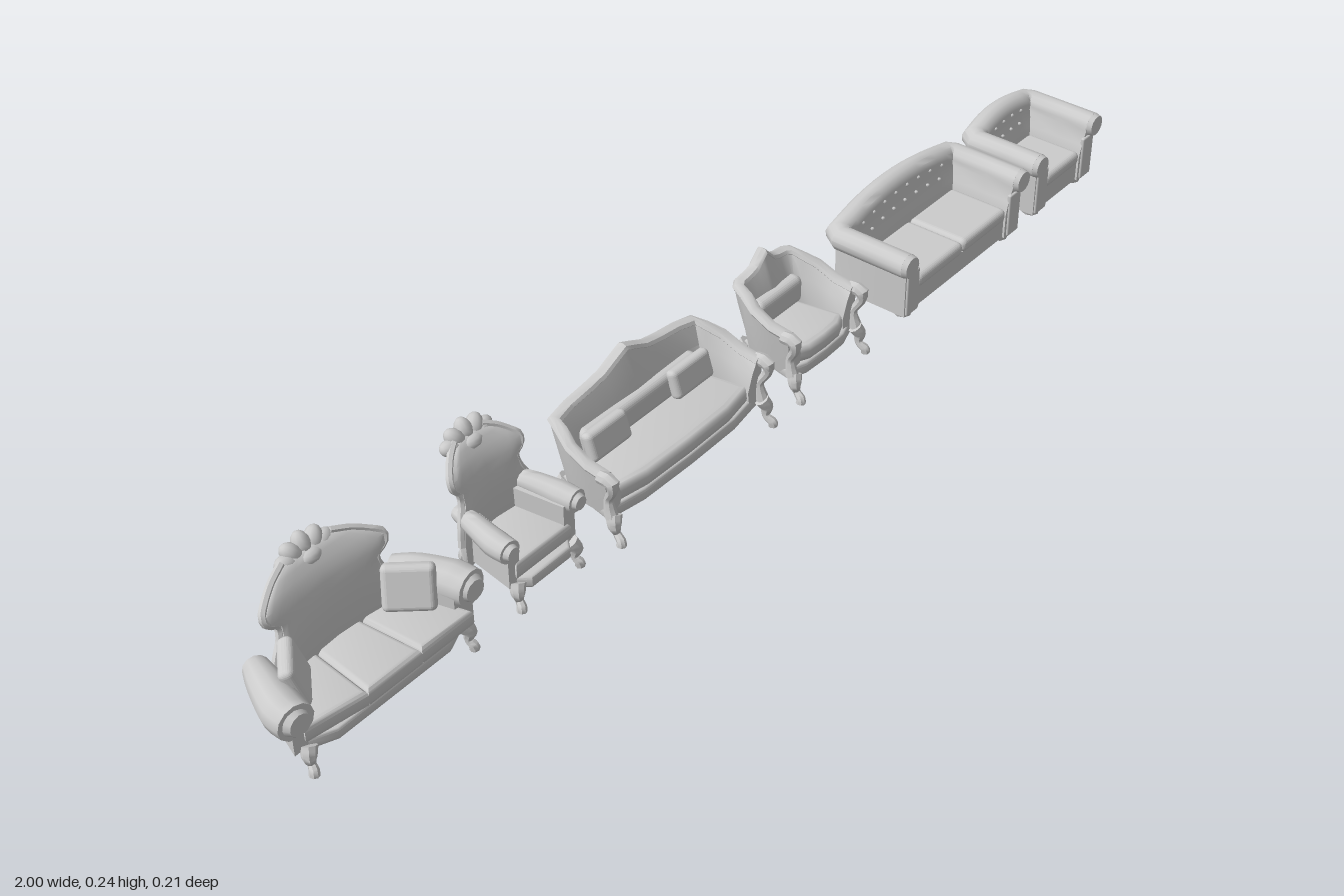
import * as THREE from 'three';
import { toCreasedNormals } from 'three/addons/utils/BufferGeometryUtils.js';
import { RoundedBoxGeometry } from 'three/addons/geometries/RoundedBoxGeometry.js';

const mat = new THREE.MeshStandardMaterial({ color: 0xcccccc });
const V = (x, y, z) => new THREE.Vector3(x, y, z);
const { lerp, clamp } = THREE.MathUtils;

function add(group, name, geo, x = 0, y = 0, z = 0) {
  const m = new THREE.Mesh(geo, mat);
  m.name = name;
  m.position.set(x, y, z);
  group.add(m);
  return m;
}

// Closed skin over a row of rings, wound so that faces point outward
function loft(rings, crease = 0.7) {
  const n = rings[0].length, last = (rings.length - 1) * n;
  const pts = rings.flat(), idx = [];
  for (const ring of [rings[0], rings[rings.length - 1]])
    pts.push(ring.reduce((a, p) => a.add(p), V(0, 0, 0)).divideScalar(n));
  for (let i = 0; i < last; i += n)
    for (let j = 0; j < n; j++) {
      const a = i + j, b = i + (j + 1) % n;
      idx.push(a, b, a + n, b, b + n, a + n);
    }
  for (let j = 0; j < n; j++) {
    const k = (j + 1) % n;
    idx.push(last + n, k, j, last + n + 1, last + j, last + k);
  }
  let volume = 0;
  for (let i = 0; i < idx.length; i += 3)
    volume += pts[idx[i]].dot(V(0, 0, 0).crossVectors(pts[idx[i + 1]], pts[idx[i + 2]]));
  if (volume < 0) idx.reverse();
  const geo = new THREE.BufferGeometry().setFromPoints(pts);
  geo.setIndex(idx);
  return toCreasedNormals(geo, crease);
}

// Round bar through [x, y, z, radius] points
function bar(stops, sides = 8, segs = 12) {
  const curve = new THREE.CatmullRomCurve3(stops.map(p => V(p[0], p[1], p[2])));
  const { normals, binormals } = curve.computeFrenetFrames(segs, false);
  return loft(normals.map((nrm, i) => {
    const t = curve.getUtoTmapping(i / segs) * (stops.length - 1);
    const k = Math.min(Math.floor(t), stops.length - 2);
    const r = lerp(stops[k][3], stops[k + 1][3], t - k), c = curve.getPointAt(i / segs);
    return Array.from({ length: sides }, (_, j) => {
      const a = j / sides * Math.PI * 2;
      return c.clone().addScaledVector(nrm, r * Math.cos(a)).addScaledVector(binormals[i], r * Math.sin(a));
    });
  }));
}

// Upright wall along an [x, z] path; profile(x, z) gives [outward offset, y] points
function wall(path, profile) {
  return loft(path.map(([x, z], i) => {
    const dir = (a, b) => new THREE.Vector2(b[0] - a[0], b[1] - a[1]).normalize();
    const d0 = dir(path[Math.max(i - 1, 0)], path[Math.max(i, 1)]);
    const d1 = i < path.length - 1 ? dir(path[i], path[i + 1]) : d0;
    const t = d0.clone().add(d1).normalize(), mitre = 1 / Math.max(0.6, t.dot(d0));
    return profile(x, z).map(([o, y]) => V(x - t.y * o * mitre, y, z + t.x * o * mitre));
  }));
}

// Flat slab with rounded edges from an [x, z] outline
function slab(outline, y0, y1, bevel) {
  const shape = new THREE.Shape(outline.map(([x, z]) => new THREE.Vector2(x, -z)));
  const geo = new THREE.ExtrudeGeometry(shape, { depth: y1 - y0 - 2 * bevel, bevelSize: bevel,
    bevelThickness: bevel, bevelOffset: -bevel, bevelSegments: 3 });
  return toCreasedNormals(geo.rotateX(-Math.PI / 2).translate(0, y0 + bevel, 0), 0.7);
}

// Cushion whose middle is puffed up
function cushion(w, h, d, puff = 0.3) {
  const geo = new RoundedBoxGeometry(w, h, d, 3, Math.min(w, h, d) * 0.4);
  const p = geo.attributes.position;
  for (let i = 0; i < p.count; i++) {
    const u = 2 * p.getX(i) / w, v = 2 * p.getZ(i) / d;
    p.setY(i, p.getY(i) * (1 + puff * (1 - u * u) * (1 - v * v)));
  }
  geo.computeVertexNormals();
  return geo;
}

// Cabriole leg that swells at the knee and kicks out at the foot
function leg(g, x, z, sx, sz, top, kick) {
  add(g, 'cabrioleLeg', bar([
    [x, top, z, 0.013], [x + sx * 0.006, top * 0.7, z + sz * 0.006, 0.011],
    [x + sx * 0.003, top * 0.35, z + sz * kick * 0.4, 0.006],
    [x + sx * 0.006, 0.007, z + sz * kick, 0.008], [x + sx * 0.007, 0, z + sz * kick, 0.008]]));
}

// Seat with a balloon back, shell crest and rolled arms
function shellSeat(name, hw, roll, ear, parts, pillows) {
  const g = new THREE.Group();
  g.name = name;
  const hb = hw * 0.8;
  add(g, 'seatRail', slab([[-hw, 0.055], [-hw * 0.7, 0.075], [hw * 0.7, 0.075], [hw, 0.055],
    [hb, -0.055], [-hb, -0.055]], 0.03, 0.052, 0.005));
  for (let i = 0; i < parts; i++) {
    const a = -1 + 2 * i / parts, b = a + 2 / parts;
    const f = u => Math.abs(u) === 1 ? 0.062 : 0.078;
    add(g, 'seatCushion', slab([[a * hw, f(a)], [b * hw, f(b)], [b * hb, -0.045], [a * hb, -0.045]],
      0.048, 0.08, 0.009));
  }
  // balloon back as stacked sections: [y, half width / ear width, z, half thickness]
  const rows = [[0.035, 1.05, -0.043, 0.01], [0.08, 1.1, -0.045, 0.013], [0.115, 1, -0.047, 0.014],
    [0.14, 0.84, -0.05, 0.014], [0.158, 0.82, -0.054, 0.014], [0.172, 0.98, -0.058, 0.013],
    [0.186, 1, -0.062, 0.012], [0.196, 0.86, -0.068, 0.011], [0.207, 0.66, -0.074, 0.01],
    [0.216, 0.4, -0.08, 0.007]];
  const bend = u => 0.016 * u * u;
  add(g, 'balloonBack', loft(rows.map(([y, w, z, t]) => Array.from({ length: 20 }, (_, j) => {
    const a = j / 20 * Math.PI * 2, c = Math.cos(a), s = Math.sin(a);
    const u = w * Math.sign(c) * Math.abs(c) ** 0.7;
    return V(u * ear, y, z + t * Math.sign(s) * Math.abs(s) ** 0.6 + bend(u));
  })), 0.9));
  // shell crest
  for (let i = -2; i <= 2; i++) {
    const a = i * 0.62, lobe = new THREE.SphereGeometry(1, 10, 8).scale(0.014, 0.02, 0.014);
    const m = add(g, 'crestLobe', lobe, Math.sin(a) * 0.034, 0.201 + Math.cos(a) * 0.017, -0.078 - Math.cos(a) * 0.008);
    m.rotation.set(-0.4, 0, -a);
  }
  add(g, 'crestBase', new THREE.SphereGeometry(1, 10, 8).scale(0.022, 0.012, 0.014), 0, 0.203, -0.072);
  for (const s of [-1, 1]) {
    const ax = s * (hw + 0.013), bx = s * (hb + 0.006), ay = 0.135 - roll;
    add(g, 'backTrim', bar(rows.slice(1).map(([y, w, z]) => [s * w * ear, y, z + bend(w), 0.006]), 6, 24));
    add(g, 'rolledArm', bar([[bx, ay, -0.055, roll * 0.6], [lerp(bx, ax, 0.4), ay + 0.003, -0.02, roll * 0.8],
      [lerp(bx, ax, 0.9), ay, 0.035, roll], [ax, ay, 0.064, roll * 0.92]], 12));
    const scroll = add(g, 'armScroll', new THREE.CylinderGeometry(roll * 0.55, roll * 0.7, 0.01, 12), ax, ay, 0.067);
    scroll.rotation.x = Math.PI / 2;
    const quad = (x, z, t) => [V(x - t, 0.04, z), V(x + t, 0.04, z), V(x + t, ay, z), V(x - t, ay, z)];
    add(g, 'armPanel', loft([quad(bx - s * 0.008, -0.05, 0.012), quad(ax - s * 0.012, 0.058, roll * 0.55)]));
    leg(g, s * hw * 0.97, 0.06, s, 1, 0.044, 0.012);
    leg(g, s * hb * 0.95, -0.045, s, -1, 0.044, 0.006);
    if (pillows) {
      const p = add(g, 'pillow', cushion(0.078, 0.022, 0.072, 0.5), s * 0.108, 0.111, 0);
      p.rotation.set(Math.PI / 2 - 0.25, 0, s * 0.85, 'ZXY');
      p.rotation.set(1.25, -s * 0.85, 0, 'YXZ');
    }
  }
  return g;
}

// Seat with a pointed back wrapping forward into low arms
function wingSeat(name, hw, peak, pillows) {
  const g = new THREE.Group();
  g.name = name;
  const hb = hw - 0.012, right = [[hw, 0.066], [hw, 0.03], [hw - 0.002, -0.005], [hb, -0.03], [hb - 0.012, -0.043]];
  const back = [0.75, 0.5, 0.3, 0.15, 0.06, 0].map(u => [u * hb, -0.047]);
  const half = [...right, ...back];
  const path = [...half, ...half.slice(0, -1).reverse().map(([x, z]) => [-x, z])];
  const top = (x, z) => {
    if (z > -0.035) return lerp(0.152, 0.122, clamp((z + 0.03) / 0.07, 0, 1));
    const u = Math.abs(x) / hb;
    return 0.155 + (peak - 0.18) * (1 - u * u) + 0.025 * Math.max(0, 1 - u / 0.35);
  };
  add(g, 'wrapBack', wall(path, (x, z) => {
    const t = top(x, z), lean = z > -0.035 ? 0.01 : 0.02;
    return [[-0.004, 0.035], [0.002, 0.07], [lean * 0.7, lerp(0.07, t, 0.6)], [lean, t - 0.004],
      [lean - 0.008, t], [lean - 0.018, t - 0.004], [lean * 0.5 - 0.022, lerp(0.07, t, 0.6)], [-0.028, 0.07], [-0.024, 0.035]];
  }));
  add(g, 'topTrim', wall(path, (x, z) => {
    const t = top(x, z), lean = z > -0.035 ? 0.002 : 0.012;
    return Array.from({ length: 8 }, (_, j) => [lean + 0.011 * Math.cos(j * Math.PI / 4), t - 0.004 + 0.008 * Math.sin(j * Math.PI / 4)]);
  }));
  const seat = (w, f) => [[-w, f - 0.014], [-w * 0.6, f - 0.002], [0, f], [w * 0.6, f - 0.002], [w, f - 0.014],
    [w - 0.02, -0.045], [-w + 0.02, -0.045]];
  add(g, 'seatRail', slab(seat(hw, 0.077), 0.028, 0.052, 0.006));
  add(g, 'seatCushion', slab(seat(hw - 0.018, 0.075), 0.046, 0.08, 0.012));
  add(g, 'backPad', cushion(hb * 1.6, 0.05, 0.03, 0.1), 0, 0.1, -0.03);
  for (const s of [-1, 1]) {
    const x = s * (hw + 0.006);
    add(g, 'armPost', bar([[x, 0.117, 0.055, 0.011], [x, 0.116, 0.078, 0.012], [x, 0.1, 0.079, 0.008],
      [x - s * 0.005, 0.075, 0.066, 0.007], [x - s * 0.004, 0.045, 0.072, 0.011]]));
    leg(g, s * (hw - 0.002), 0.073, s, 1, 0.047, 0.019);
    leg(g, s * (hb - 0.015), -0.043, s, -1, 0.045, 0.014);
    if (pillows) {
      const p = add(g, 'pillow', cushion(0.09, 0.02, 0.05, 0.4), s * 0.1, 0.108, -0.008);
      p.rotation.set(Math.PI / 2 - 0.3, 0, 0);
    }
  }
  return g;
}

// Boxy tufted seat with a rolled rim running round arms and back
function tuftedSeat(name, hw, zb, rise, seats) {
  const g = new THREE.Group();
  g.name = name;
  const r = 0.022, inner = hw - 0.036, bow = rise * 0.5;
  const path = [[hw, 0.096], [hw, 0.04], [hw, zb + 0.012], [hw - 0.008, zb]];
  for (let i = 1; i < 12; i++) {
    const u = 1 - i / 6;
    path.push([u * (hw - 0.008), zb - bow * (1 - u * u)]);
  }
  path.push([-hw + 0.008, zb], [-hw, zb + 0.012], [-hw, 0.04], [-hw, 0.096]);
  const lift = x => rise * (1 - (x / hw) ** 2);
  add(g, 'rolledBody', wall(path, x => {
    const cy = 0.115 + lift(x), ring = [];
    for (let j = 0; j <= 10; j++) {
      const a = -1.25 + j * 0.47;
      ring.push([r * Math.cos(a), cy + r * Math.sin(a)]);
    }
    return [[0.005, 0.0125], [0.005, cy - r], ...ring, [-0.032, 0.085], [-0.038, 0.06], [-0.038, 0.0125]];
  }));
  add(g, 'base', new THREE.BoxGeometry(2 * inner + 0.01, 0.038, 0.092 - zb), 0, 0.0315, (0.092 + zb) / 2);
  const w = 2 * inner / seats, depth = 0.096 - zb - 0.03;
  for (let i = 0; i < seats; i++)
    add(g, 'seatCushion', cushion(w, 0.026, depth, 0.15), (i + 0.5) * w - inner, 0.061, 0.097 - depth / 2);
  for (const s of [-1, 1]) {
    const scroll = add(g, 'armScroll', new THREE.CylinderGeometry(0.019, r, 0.01, 16), s * hw, 0.115, 0.1);
    scroll.rotation.x = Math.PI / 2;
    add(g, 'armFront', new RoundedBoxGeometry(0.034, 0.085, 0.008, 2, 0.003), s * (hw - 0.015), 0.056, 0.096);
    for (const z of [0.075, zb + 0.03])
      add(g, 'foot', new THREE.CylinderGeometry(0.02, 0.016, 0.014, 8), s * (hw - 0.022), 0.007, z);
  }
  // buttons on the inside of the back
  const count = seats * 4;
  for (let row = 0; row < 2; row++)
    for (let i = 0; i < count - row; i++) {
      const x = ((i + 0.5 + row / 2) / count * 2 - 1) * inner;
      const z = zb - bow * (1 - (x / hw) ** 2) + (row ? 0.031 : 0.022);
      add(g, 'button', new THREE.SphereGeometry(0.0035, 6, 4), x, (row ? 0.092 : 0.112) + lift(x), z);
    }
  return g;
}

export function createModel() {
  const model = new THREE.Group();
  model.name = 'seatingSet';
  const place = (seat, x) => { seat.position.x = x; model.add(seat); };
  place(shellSeat('shellSofa', 0.153, 0.032, 0.112, 3, true), -0.802);
  place(shellSeat('shellChair', 0.059, 0.021, 0.072, 1, false), -0.484);
  place(wingSeat('wingSofa', 0.182, 0.197, true), -0.163);
  place(wingSeat('wingChair', 0.085, 0.19, false), 0.187);
  place(tuftedSeat('tuftedSofa', 0.172, -0.052, 0.018, 2), 0.559);
  place(tuftedSeat('tuftedChair', 0.092, -0.045, 0.012, 1), 0.885);
  return model;
}
